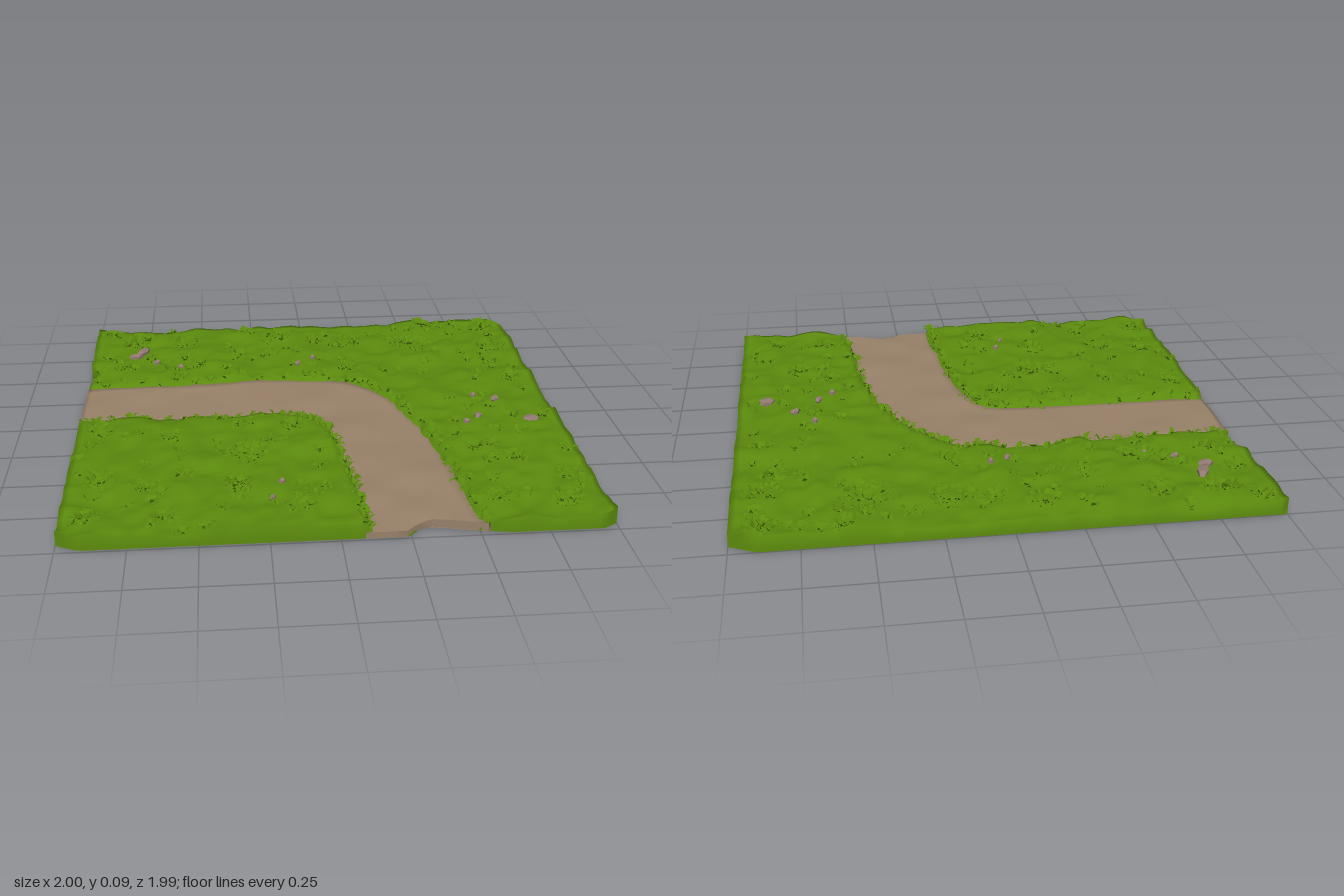
import * as THREE from 'three';

const grassMat = new THREE.MeshStandardMaterial({ name: 'grass green', color: 0x5b8a0d, side: THREE.DoubleSide });
const pathMat = new THREE.MeshStandardMaterial({ name: 'path brown', color: 0x988169, side: THREE.DoubleSide });
const stoneMat = new THREE.MeshStandardMaterial({ name: 'stone', color: 0x917a70 });

let seed = 7;
const rnd = () => (seed = (seed * 16807) % 2147483647) / 2147483647;
const range = (a, b) => a + (b - a) * rnd();
const smooth = THREE.MathUtils.smoothstep;

// Smoothed value noise, 0..1
const hash = (i, j) => { const s = Math.sin(i * 127.1 + j * 311.7) * 43758.5453; return s - Math.floor(s); };
function noise(x, z) {
  const i = Math.floor(x), j = Math.floor(z), fx = smooth(x - i, 0, 1), fz = smooth(z - j, 0, 1);
  const mix = THREE.MathUtils.lerp;
  return mix(mix(hash(i, j), hash(i + 1, j), fx), mix(hash(i, j + 1), hash(i + 1, j + 1), fx), fz);
}

// Uneven outline of the tile
function along(line, t) {
  for (let i = 1; i < line.length; i++) {
    const [a, va] = line[i - 1], [b, vb] = line[i];
    if (t <= b) return va + (vb - va) * (t - a) / (b - a);
  }
  return line[line.length - 1][1];
}
const FRONT = [[-1, 0.95], [-0.92, 0.99], [0.24, 0.99], [0.31, 0.92], [0.5, 0.97], [0.62, 0.99], [0.95, 0.99], [1, 0.96]];
const BACK = [[-1, -1], [0.9, -1], [1, -0.95]];
const SIDE = [[-1, -1], [-0.55, -1], [-0.48, -0.96], [-0.33, -1], [1, -1]];
function clip(x, z) {
  x = THREE.MathUtils.clamp(x, -1, 1);
  z = THREE.MathUtils.clamp(z, along(BACK, x), along(FRONT, x));
  return [Math.max(x, along(SIDE, z)), z];
}

// The two edges of the bending path
const edge = pts => new THREE.CatmullRomCurve3(pts.map(([x, z]) => new THREE.Vector3(x, 0, z)), false, 'centripetal');
const outer = edge([[-1.05, -0.33], [-0.5, -0.34], [-0.05, -0.36], [0.12, -0.31], [0.28, -0.16], [0.37, 0.06], [0.43, 0.32], [0.46, 0.7], [0.5, 1.05]]);
const inner = edge([[-1.05, -0.02], [-0.55, 0], [-0.12, 0], [-0.02, 0.05], [0.03, 0.12], [0.07, 0.3], [0.1, 0.6], [0.12, 0.85], [0.12, 1.05]]);
const loop = [...outer.getPoints(50), ...inner.getPoints(50).reverse()];

// Signed distance from the path, negative on it
function pathDistance(x, z) {
  let best = 9, inside = false;
  loop.forEach((a, i) => {
    const b = loop[(i + 1) % loop.length], dx = b.x - a.x, dz = b.z - a.z;
    const t = THREE.MathUtils.clamp(((x - a.x) * dx + (z - a.z) * dz) / (dx * dx + dz * dz), 0, 1);
    best = Math.min(best, Math.hypot(x - a.x - t * dx, z - a.z - t * dz));
    if ((a.z > z) !== (b.z > z) && x < a.x + dx * (z - a.z) / dz) inside = !inside;
  });
  const tongue = 0.035 - Math.hypot((x - 0.06) * 1.7, (z + 0.27) * 0.45); // grass growing onto the path
  return Math.max(inside ? -best : best, tongue);
}

const pathHeight = (x, z) => 0.02 + 0.018 * noise(x * 7 + 3, z * 7 + 9);
function groundHeight(x, z) {
  const top = 0.032 + 0.026 * noise(x * 9 + 40, z * 9 + 40) + 0.018 * noise(x * 19, z * 19);
  return THREE.MathUtils.lerp(0.007, top, smooth(pathDistance(x, z) + 0.008 * (noise(x * 30, z * 30) - 0.5), 0, 0.03));
}

// Grid surface from point(u, v); skirt adds a rim down to the floor
function sheet(nu, nv, point, skirt, down = false) {
  const pos = [], index = [], k = skirt ? 1 : 0, w = nv + 1 + 2 * k;
  const lim = THREE.MathUtils.clamp;
  for (let i = -k; i <= nu + k; i++) for (let j = -k; j <= nv + k; j++) {
    const ci = lim(i, 0, nu), cj = lim(j, 0, nv), p = point(ci / nu, cj / nv);
    pos.push(p[0], ci === i && cj === j ? p[1] : 0, p[2]);
  }
  for (let i = 0; i < nu + 2 * k; i++) for (let j = 0; j < w - 1; j++) {
    const a = i * w + j, b = a + 1, c = a + w, d = c + 1;
    if (down) index.push(a, c, b, b, c, d);
    else index.push(a, b, c, b, d, c);
  }
  const g = new THREE.BufferGeometry();
  g.setAttribute('position', new THREE.Float32BufferAttribute(pos, 3));
  g.setIndex(index);
  g.computeVertexNormals();
  return g;
}
function pathPoint(u, v, pad, height) {
  const a = outer.getPoint(u), b = inner.getPoint(u);
  const p = a.lerp(b, v * (1 + 2 * pad) - pad);
  const [x, z] = clip(p.x, p.z);
  return [x, height(x, z), z];
}

// Ragged clump of bent leaves
function addClump(out, cx, cz, r, count) {
  for (let n = 0; n < count; n++) {
    const q = r * 0.8 * Math.sqrt(rnd()), qa = range(0, 6.283);
    const [x, z] = clip(cx + q * Math.cos(qa), cz + q * Math.sin(qa));
    const y = groundHeight(x, z) - 0.004;
    const a = qa + range(-1.1, 1.1), len = range(0.018, 0.04), w = range(0.005, 0.011);
    const lift = range(0.012, 0.026) * (1 - 0.4 * q / r);
    const at = (d, s, h) => {
      const p = clip(x + d * Math.cos(a) - s * Math.sin(a), z + d * Math.sin(a) + s * Math.cos(a));
      return [p[0], Math.min(0.093, y + h), p[1]];
    };
    const b0 = at(0, -w, 0), b1 = at(0, w, 0);
    const m0 = at(len * 0.5, -w, lift), m1 = at(len * 0.5, w, lift), tip = at(len, 0, lift * range(0.4, 1.1));
    out.push(...b0, ...b1, ...m0, ...b1, ...m1, ...m0, ...m0, ...m1, ...tip);
  }
}

export function createModel() {
  const model = new THREE.Group();
  const add = (name, geo, mat) => {
    const m = new THREE.Mesh(geo, mat);
    m.name = name;
    model.add(m);
    return m;
  };

  // Bumpy ground and the path laid in it
  add('grassGround', sheet(84, 84, (u, v) => {
    const [x, z] = clip(u * 2 - 1, v * 2 - 1);
    return [x * 0.999, groundHeight(x, z), z * 0.999];
  }, true), grassMat);
  add('path', sheet(64, 9, (u, v) => pathPoint(u, v, 0.09, pathHeight), true), pathMat);

  // Flat underside with bare earth patches
  add('underside', sheet(50, 50, (u, v) => {
    const [x, z] = clip(u * 2 - 1, v * 2 - 1);
    return [x, 0.003, z];
  }, false, true), grassMat);
  add('pathUnderside', sheet(64, 2, (u, v) => pathPoint(u, v, 0.02, () => 0), false, true), pathMat);
  const patch = new THREE.Shape();
  patch.setFromPoints(new THREE.SplineCurve([[0.42, 0.95], [0.44, 0.4], [0.46, 0.22], [0.62, 0.13], [0.78, 0.15], [0.93, 0.42], [0.93, 0.7], [0.84, 0.9], [0.6, 0.96]]
    .map(p => new THREE.Vector2(...p))).getPoints(40));
  add('earthPatchUnderside', new THREE.ShapeGeometry(patch).rotateX(Math.PI / 2).translate(0, 0.001, 0), pathMat);

  // Larger bushes: x, z, radius
  const leaves = [];
  const bushes = [
    [-0.8, -0.84, 0.08], [-0.57, -0.83, 0.08], [-0.92, -0.93, 0.05], [-0.13, -0.87, 0.07], [0.04, -0.81, 0.06], [0.19, -0.78, 0.1],
    [0.51, -0.73, 0.12], [0.88, -0.92, 0.07], [0.88, -0.67, 0.08], [0.6, -0.95, 0.05], [0.89, -0.28, 0.05], [0.85, -0.5, 0.05],
    [-0.52, -0.53, 0.06], [-0.92, -0.67, 0.05], [0.18, -0.46, 0.05], [-0.3, 0.38, 0.09], [-0.62, 0.23, 0.06], [-0.9, 0.15, 0.06],
    [-0.35, 0.64, 0.08], [-0.87, 0.58, 0.07], [-0.7, 0.63, 0.05], [-0.13, 0.83, 0.06], [-0.62, 0.85, 0.05], [-0.9, 0.85, 0.05],
    [-0.12, 0.15, 0.06], [0.74, 0.5, 0.06], [0.9, 0.66, 0.05], [0.6, 0.82, 0.05], [0.85, 0.85, 0.06], [0.6, 0.4, 0.04]];
  bushes.forEach(([x, z, r]) => addClump(leaves, x, z, r, Math.round(r * 700)));

  // Small tufts scattered over the meadow
  for (let n = 0; n < 190; n++) {
    const x = range(-0.97, 0.97), z = range(-0.97, 0.96);
    if (pathDistance(x, z) > 0.04) addClump(leaves, x, z, range(0.015, 0.035), 9);
  }
  // Fringe of grass along both path edges
  [[outer, 1], [inner, -1]].forEach(([curve, side]) => {
    for (let t = 0.03; t < 0.97; t += 0.018) {
      const p = curve.getPoint(t), d = curve.getTangent(t), o = side * range(0.02, 0.035);
      addClump(leaves, p.x + d.z * o, p.z - d.x * o, 0.015, 4);
    }
  });
  const leafGeo = new THREE.BufferGeometry();
  leafGeo.setAttribute('position', new THREE.Float32BufferAttribute(leaves, 3));
  leafGeo.computeVertexNormals();
  add('bushesAndTufts', leafGeo, grassMat);

  // Stones: x, z, half length, half width, turn
  const stones = [
    [-0.77, -0.72, 0.055, 0.024, 1.2], [-0.8, -0.66, 0.035, 0.025, 0.4], [-0.7, -0.58, 0.02, 0.014, 0.5], [-0.59, -0.53, 0.018, 0.015, 0],
    [-0.05, -0.51, 0.016, 0.014, 1], [0.02, -0.55, 0.013, 0.01, 0], [0.88, 0.17, 0.04, 0.036, 0.6], [0.76, 0, 0.022, 0.018, 0.8],
    [0.66, 0.14, 0.022, 0.017, 1.2], [0.6, 0.2, 0.016, 0.014, 0], [0.68, -0.07, 0.014, 0.012, 0.3], [-0.19, 0.65, 0.015, 0.012, 0.2],
    [-0.23, 0.76, 0.014, 0.01, 0.9]];
  const stoneGeo = new THREE.DodecahedronGeometry(1);
  stones.forEach(([x, z, a, b, turn]) => {
    const s = add('stone', stoneGeo, stoneMat);
    s.scale.set(a, 0.016, b);
    s.rotation.y = turn;
    s.position.set(x, groundHeight(x, z) + 0.004, z);
  });
  addClump(leaves, 0, 0, 0.01, 0);
  return model;
}
